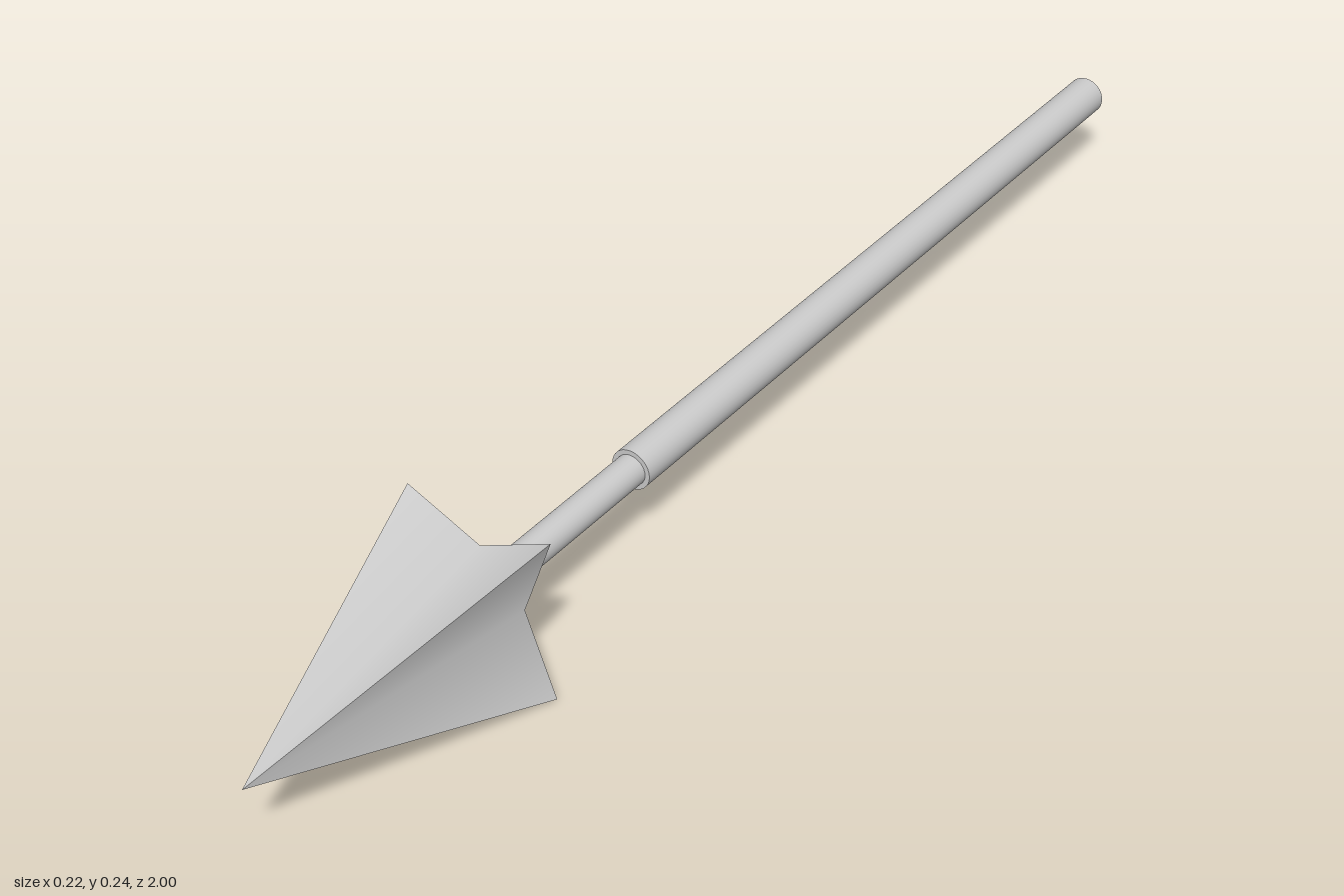
import * as THREE from 'three';

const AXIS_Y = 0.1215;
const material = new THREE.MeshStandardMaterial({ color: 0xcccccc, roughness: 0.8 });

// Round rod lying along z
function rod(name, radius, z0, z1) {
  const geometry = new THREE.CylinderGeometry(radius, radius, z1 - z0, 32);
  geometry.rotateX(Math.PI / 2);
  const mesh = new THREE.Mesh(geometry, material);
  mesh.name = name;
  mesh.position.set(0, AXIS_Y, (z0 + z1) / 2);
  return mesh;
}

// Four-pointed star base drawn out to a tip; each panel is smooth, the ridges stay sharp
function arrowHead(zBase, zTip) {
  const w = 0.111, h = 0.1215, notchX = 0.066, notchY = 0.072;
  const star = [[w, h], [0, notchY], [-w, h], [-notchX, 0], [-w, -h], [0, -notchY], [w, -h], [notchX, 0]];
  const positions = [], indices = [];
  const add = (x, y, z) => positions.push(x, y, z) / 3 - 1;

  // Side panels: corner, notch, next corner, tip
  for (let i = 0; i < 8; i += 2) {
    const [a, b, c] = [0, 1, 2].map((k) => add(...star[(i + k) % 8], zBase));
    const tip = add(0, 0, zTip);
    indices.push(a, b, tip, b, c, tip);
  }

  // Flat back face
  const centre = add(0, 0, zBase);
  const rim = star.map(([x, y]) => add(x, y, zBase));
  rim.forEach((v, i) => indices.push(centre, rim[(i + 1) % 8], v));

  const geometry = new THREE.BufferGeometry();
  geometry.setAttribute('position', new THREE.Float32BufferAttribute(positions, 3));
  geometry.setIndex(indices);
  geometry.computeVertexNormals();
  const mesh = new THREE.Mesh(geometry, material);
  mesh.name = 'arrowHead';
  mesh.position.y = AXIS_Y;
  return mesh;
}

export function createModel() {
  const model = new THREE.Group();
  model.name = 'arrow';
  model.add(
    rod('shaft', 0.03, -1, 0.24),
    rod('neck', 0.023, 0.23, 0.56),
    arrowHead(0.555, 1),
  );
  return model;
}
